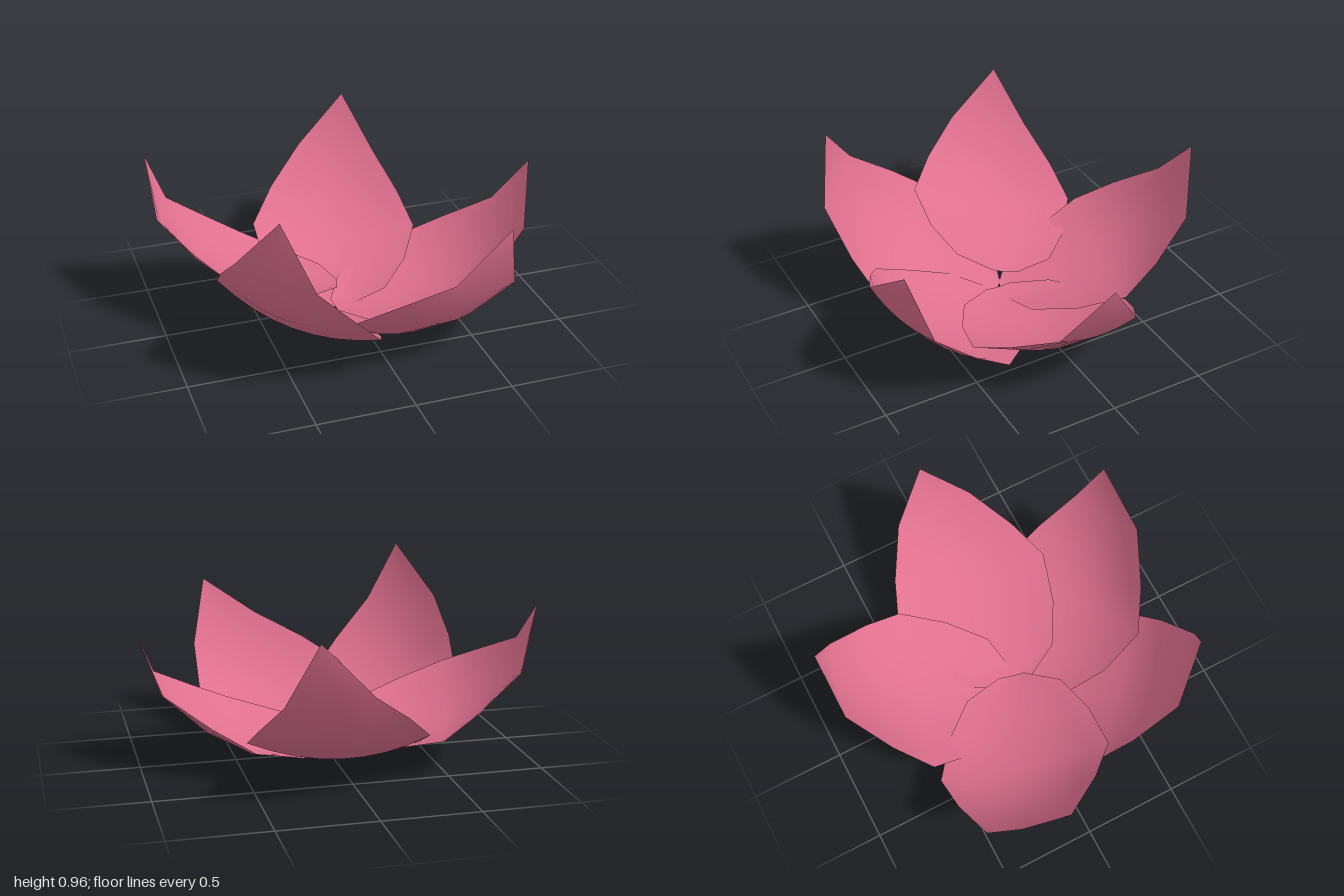
import * as THREE from 'three';

// Petal cross-sections from base to tip: [distance out, half width, edge height, spine height]
const SECTIONS = [
  [-0.09, 0.07, 0.055, 0.05],
  [0.01, 0.26, 0.08, 0.04],
  [0.22, 0.38, 0.12, 0.05],
  [0.47, 0.45, 0.19, 0.09],
  [0.67, 0.36, 0.30, 0.19],
  [0.89, 0.215, 0.44, 0.40],
  [1.0, 0, 0.73, 0.73],
];
const COLUMNS = 8;
const LENGTH = Math.hypot(1.09, 0.68);

// One cupped petal, its base at the origin and its base-to-tip line along +x.
// The twist raises one side and lowers the other, fading towards the tip.
function petalGeometry(twist) {
  const positions = [], index = [];
  for (const [x, halfWidth, edgeY, spineY] of SECTIONS) {
    for (let c = 0; c <= COLUMNS; c++) {
      const v = (c / COLUMNS) * 2 - 1;
      const z = v * halfWidth;
      positions.push(x, spineY + (edgeY - spineY) * v * v + twist * z * (1 - x), z);
    }
  }
  const stride = COLUMNS + 1;
  for (let r = 0; r < SECTIONS.length - 1; r++) {
    for (let c = 0; c < COLUMNS; c++) {
      const a = r * stride + c, b = a + stride;
      index.push(a, a + 1, b);
      if (r < SECTIONS.length - 2) index.push(a + 1, b + 1, b);
    }
  }
  const geometry = new THREE.BufferGeometry();
  geometry.setAttribute('position', new THREE.Float32BufferAttribute(positions, 3));
  geometry.setIndex(index);
  geometry.translate(0.09, -0.05, 0);
  geometry.rotateZ(-Math.atan2(0.68, 1.09));
  geometry.computeVertexNormals();
  return geometry;
}

// Petal placements: tip, base, the direction across the petal, and twist
const PETALS = [
  { name: 'frontLeftPetal', tip: [0.52, 0.80, 0.87], base: [-0.09, 0.015, 0.06], across: [0.37, -0.14, -0.16], twist: -0.18 },
  { name: 'frontRightPetal', tip: [-0.59, 0.97, 0.78], base: [-0.115, 0.015, 0.05], across: [0.31, -0.06, 0.28], twist: 0 },
  { name: 'rightPetal', tip: [-0.98, 0.86, -0.41], base: [-0.075, 0.155, 0.015], across: [-0.14, 0.09, 0.39], twist: -0.02 },
  { name: 'backPetal', tip: [0.26, 0.85, -0.91], base: [-0.085, 0.03, 0.035], across: [0.40, -0.06, 0.10], twist: 0.17 },
  { name: 'leftPetal', tip: [1.0, 0.73, 0.03], base: [-0.1, 0.05, 0.05], across: [0, 0.04, 1], twist: 0 },
];

export function createModel() {
  const flower = new THREE.Group();
  flower.name = 'flower';
  const pink = new THREE.MeshStandardMaterial({ color: 0xe07090, side: THREE.DoubleSide });
  pink.name = 'petal pink';

  for (const { name, tip, base, across, twist } of PETALS) {
    const basePoint = new THREE.Vector3(...base);
    const out = new THREE.Vector3(...tip).sub(basePoint);
    const length = out.length();
    out.normalize();
    const up = new THREE.Vector3(...across).cross(out).normalize();
    if (up.y < 0) up.negate();
    const side = out.clone().cross(up);
    const petal = new THREE.Mesh(petalGeometry(twist), pink);
    petal.name = name;
    petal.quaternion.setFromRotationMatrix(new THREE.Matrix4().makeBasis(out, up, side));
    petal.position.copy(basePoint);
    petal.scale.x = length / LENGTH;
    flower.add(petal);
  }
  return flower;
}
